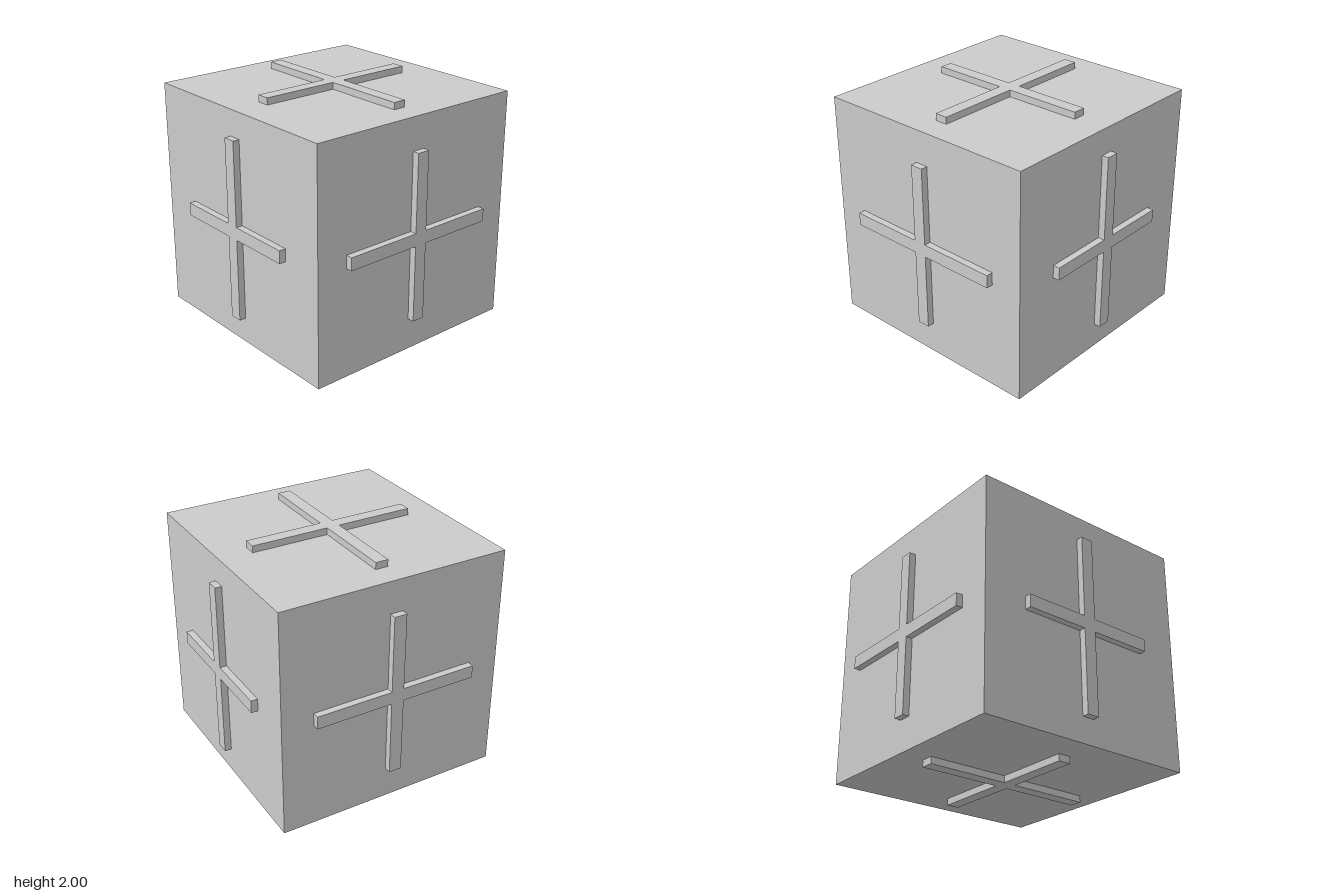
import * as THREE from 'three';

const HALF = 0.945;   // half the cube's edge
const RAISE = 0.055;  // height of the ribs above each face
const W = 0.0525;     // half the rib width

// Plus-shaped rib with arms reaching a sideways and b up, raised along +z
function crossGeometry(a, b) {
  const quarter = [[a, W], [W, W], [W, b]];
  const points = [];
  for (let i = 0; i < 4; i++) {
    const sx = i === 1 || i === 2 ? -1 : 1;
    const sy = i > 1 ? -1 : 1;
    const corner = quarter.map(([x, y]) => new THREE.Vector2(x * sx, y * sy));
    points.push(...(i % 2 ? corner.reverse() : corner));
  }
  return new THREE.ExtrudeGeometry(new THREE.Shape(points), { depth: RAISE, bevelEnabled: false });
}

export function createModel() {
  const model = new THREE.Group();
  model.name = 'ribbedCube';
  const material = new THREE.MeshStandardMaterial({ color: 0xcccccc, flatShading: true });

  // Plain cube body
  const body = new THREE.Mesh(new THREE.BoxGeometry(2 * HALF, 2 * HALF, 2 * HALF), material);
  body.name = 'body';
  body.position.y = 1;
  model.add(body);

  // One raised cross on each face: name, arm lengths, rotation about x and y
  const faces = [
    ['frontCross', 0.683, 0.683, 0, 0],
    ['backCross', 0.683, 0.683, 0, Math.PI],
    ['leftCross', 0.58, 0.737, 0, Math.PI / 2],
    ['rightCross', 0.58, 0.737, 0, -Math.PI / 2],
    ['topCross', 0.683, 0.737, -Math.PI / 2, 0],
    ['bottomCross', 0.683, 0.737, Math.PI / 2, 0],
  ];
  for (const [name, a, b, rx, ry] of faces) {
    const cross = new THREE.Mesh(crossGeometry(a, b), material);
    cross.name = name;
    cross.rotation.set(rx, ry, 0);
    cross.position.set(0, 0, HALF).applyEuler(cross.rotation);
    cross.position.y += 1;
    model.add(cross);
  }
  return model;
}
